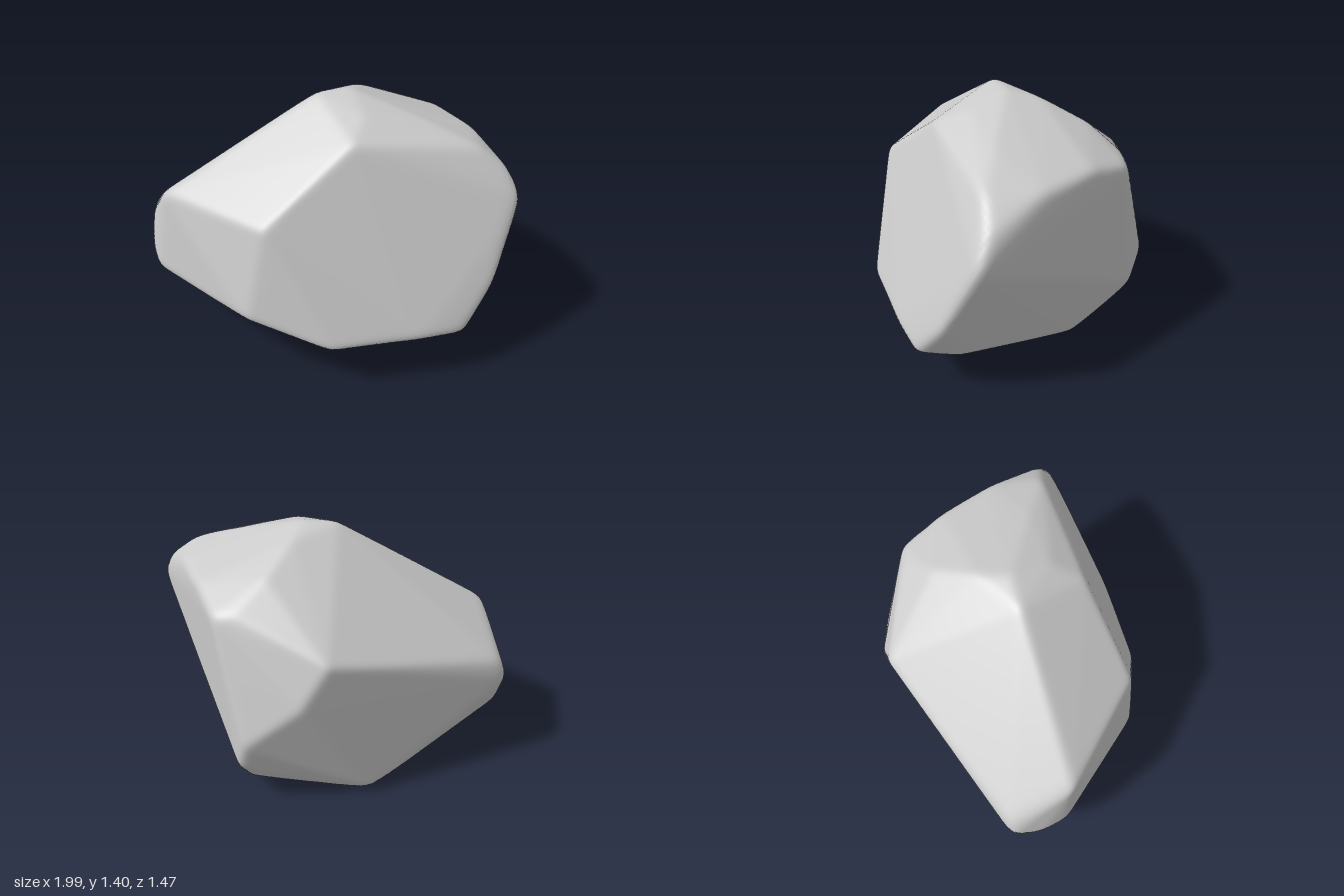
import * as THREE from 'three';
import { ConvexGeometry } from 'three/addons/geometries/ConvexGeometry.js';
import { mergeVertices } from 'three/addons/utils/BufferGeometryUtils.js';

// Corners of the faceted boulder
const corners = [
  // crown
  [-0.07, 1.4, 0.06], [0.1, 1.41, 0], [0.5, 1.29, 0.05], [0.18, 1.27, 0.36], [0.2, 1.35, 0.18],
  [0.1, 1.37, -0.17], [0.15, 1.26, -0.4],
  // front and left shoulder
  [-0.81, 0.92, 0.4], [-0.2, 0.92, 0.66], [-0.98, 0.7, 0.1],
  // right shoulder
  [0.78, 1.19, 0.1], [0.72, 1.18, -0.18], [0.53, 1.18, -0.41], [0.94, 1.07, 0.08], [1.02, 0.95, 0.12],
  [0.93, 0.56, 0.3],
  // back
  [-0.24, 0.95, -0.61], [0.25, 1.13, -0.58], [0.36, 1.11, -0.6], [-0.12, 0.72, -0.69],
  [0.16, 0.47, -0.75], [0.22, 0.3, -0.7], [0.2, 0.16, -0.6],
  // left end
  [-1.02, 0.6, 0.12], [-0.97, 0.36, 0.23], [-0.96, 0.5, 0.29], [-0.88, 0.44, 0.41],
  // lower front edge
  [-0.28, 0.42, 0.73], [0.16, 0.3, 0.74], [0.58, 0.3, 0.57], [0.79, 0.29, 0.46], [0.78, 0.26, 0.22],
  // underside
  [-0.41, 0.03, -0.35], [-0.2, -0.01, -0.35], [0.37, 0.05, -0.36],
];
const CENTER = new THREE.Vector3(0, 0.65, 0);

// Face planes of the hull around the corners, relative to the centre
function hullPlanes() {
  const pos = new ConvexGeometry(corners.map(c => new THREE.Vector3(...c).sub(CENTER))).attributes.position;
  const planes = [];
  for (let i = 0; i < pos.count; i += 3) {
    const [a, b, c] = [0, 1, 2].map(k => new THREE.Vector3().fromBufferAttribute(pos, i + k));
    planes.push(new THREE.Plane().setFromCoplanarPoints(a, b, c));
  }
  return planes;
}

// Average each vertex with its neighbours to wear down the edges
function soften(geometry, passes) {
  const pos = geometry.attributes.position, index = geometry.index.array;
  const near = Array.from({ length: pos.count }, () => new Set());
  for (let i = 0; i < index.length; i += 3)
    for (let k = 0; k < 3; k++) {
      const a = index[i + k], b = index[i + (k + 1) % 3];
      near[a].add(b);
      near[b].add(a);
    }
  const p = new THREE.Vector3(), sum = new THREE.Vector3();
  for (let n = 0; n < passes; n++) {
    const old = pos.clone();
    near.forEach((set, i) => {
      sum.set(0, 0, 0);
      set.forEach(j => sum.add(p.fromBufferAttribute(old, j)));
      p.fromBufferAttribute(old, i).lerp(sum.divideScalar(set.size), 0.6);
      pos.setXYZ(i, p.x, p.y, p.z);
    });
  }
}

export function createModel() {
  // Fine sphere pulled onto the hull planes
  let geometry = new THREE.IcosahedronGeometry(1, 50);
  geometry.deleteAttribute('normal');
  geometry.deleteAttribute('uv');
  geometry = mergeVertices(geometry, 1e-4);
  const planes = hullPlanes(), pos = geometry.attributes.position, dir = new THREE.Vector3();
  for (let i = 0; i < pos.count; i++) {
    dir.fromBufferAttribute(pos, i).normalize();
    let r = Infinity;
    for (const { normal, constant } of planes) {
      const along = normal.dot(dir);
      if (along > 1e-6) r = Math.min(r, -constant / along);
    }
    dir.multiplyScalar(r).add(CENTER);
    pos.setXYZ(i, dir.x, dir.y, dir.z);
  }
  soften(geometry, 4);

  // Stand it on the ground
  geometry.computeBoundingBox();
  geometry.translate(0, -geometry.boundingBox.min.y, 0);
  geometry.computeVertexNormals();

  const boulder = new THREE.Mesh(geometry, new THREE.MeshStandardMaterial({ color: 0xcccccc }));
  boulder.name = 'boulder';
  const group = new THREE.Group();
  group.name = 'rock';
  group.add(boulder);
  return group;
}
